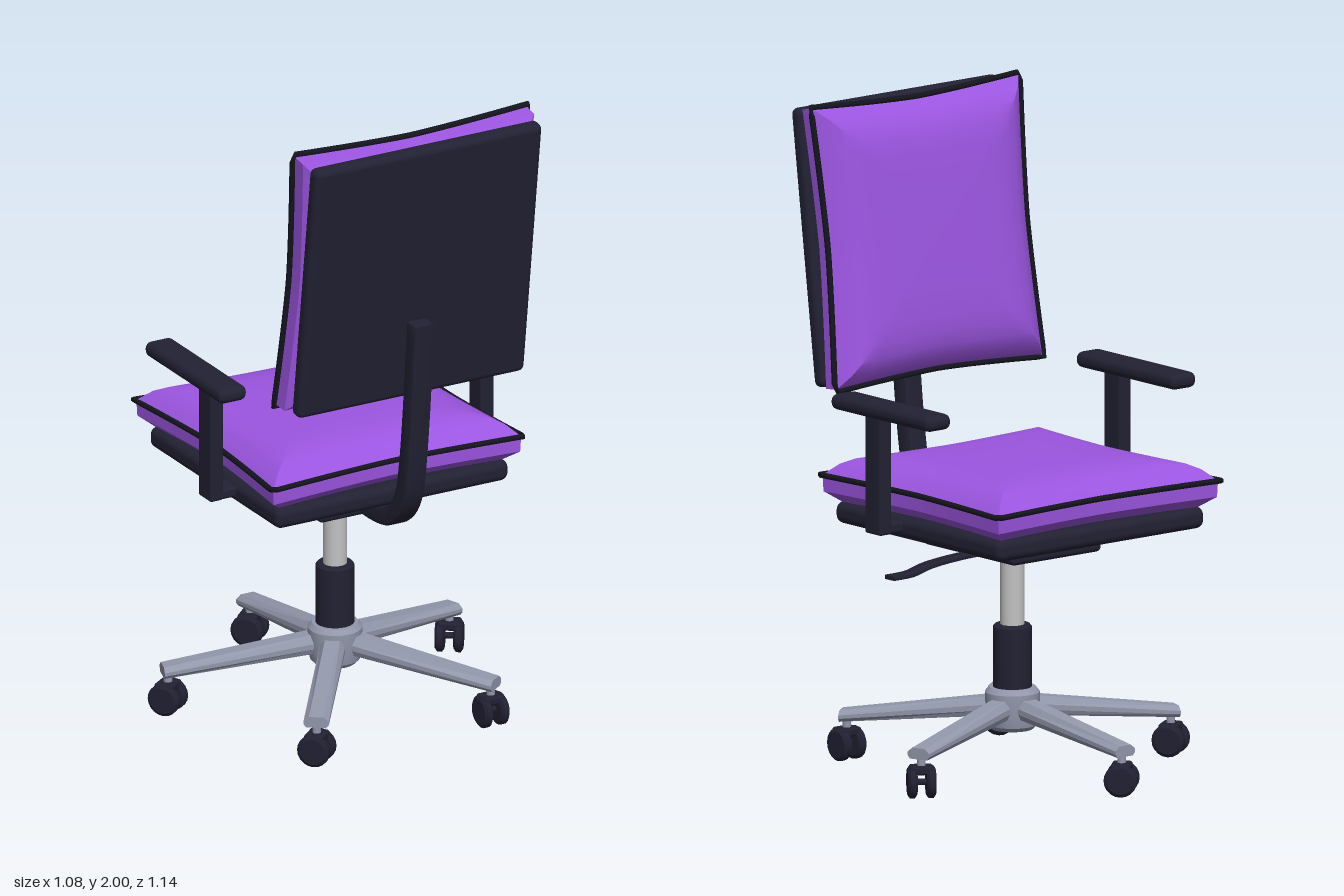
import * as THREE from 'three';
import { toCreasedNormals } from 'three/addons/utils/BufferGeometryUtils.js';
import { RoundedBoxGeometry } from 'three/addons/geometries/RoundedBoxGeometry.js';

const material = (name, color) => {
  const m = new THREE.MeshStandardMaterial({ color });
  m.name = name;
  return m;
};

export function createModel() {
  const purple = material('purple fabric', 0x9b55e0);
  const dark = material('dark plastic', 0x222133);
  const black = material('black piping', 0x15151f);
  const grey = material('grey metal', 0x9297ab);
  const silver = material('silver steel', 0xc2c2c4);

  const chair = new THREE.Group();
  chair.name = 'officeChair';

  function add(parent, name, geometry, mat, x = 0, y = 0, z = 0) {
    const mesh = new THREE.Mesh(geometry, mat);
    mesh.name = name;
    mesh.position.set(x, y, z);
    parent.add(mesh);
    return mesh;
  }
  const rounded = (w, h, d, r) => new RoundedBoxGeometry(w, h, d, 3, r);
  const cylinder = (r, h, sides = 28) => new THREE.CylinderGeometry(r, r, h, sides);

  // Flat strip that follows a 2D path, extruded to a width and centred
  function ribbon(points, thickness, width, bevel) {
    const curve = new THREE.SplineCurve(points.map(p => new THREE.Vector2(...p)));
    const left = [], right = [], n = 24;
    for (let i = 0; i <= n; i++) {
      const p = curve.getPoint(i / n), t = curve.getTangent(i / n);
      const off = new THREE.Vector2(-t.y, t.x).multiplyScalar(thickness / 2 - bevel);
      left.push(p.clone().add(off));
      right.unshift(p.clone().sub(off));
    }
    const depth = width - 2 * bevel;
    const geo = new THREE.ExtrudeGeometry(new THREE.Shape([...left, ...right]), {
      depth, bevelEnabled: true, bevelThickness: bevel, bevelSize: bevel, bevelSegments: 2,
    });
    geo.translate(0, 0, -depth / 2);
    return toCreasedNormals(geo, 0.6);
  }

  // Cushion outline: a rectangle whose sides are pinched in the middle
  function outline(hw, hd, pinch) {
    const pts = [], n = 14;
    const corners = [[1, 1], [-1, 1], [-1, -1], [1, -1]];
    corners.forEach(([cx, cz], k) => {
      const [nx, nz] = corners[(k + 1) % 4];
      for (let i = 0; i < n; i++) {
        const t = i / n;
        const inset = 1 - Math.pow(Math.abs(2 * t - 1), 1.4);
        const u = cx + (nx - cx) * t, v = cz + (nz - cz) * t;
        const px = cx === nx ? cx * pinch * inset : 0;
        const pz = cz === nz ? cz * pinch * inset : 0;
        pts.push(new THREE.Vector3(u * hw - px, 0, v * hd - pz));
      }
    });
    return pts;
  }

  // Domed pad with a straight band below the seam, plus piping round the seam
  function cushion(name, hw, hd, pinch) {
    const group = new THREE.Group();
    group.name = name;
    const edge = outline(hw, hd, pinch), n = edge.length;
    const rings = [[0, 0.068], [0.35, 0.068], [0.6, 0.066], [0.72, 0.061], [0.82, 0.051],
      [0.9, 0.034], [0.985, 0], [0.98, -0.05], [0.88, -0.083], [0, -0.083]];
    const pos = [], index = [];
    rings.forEach(([s, y], r) => {
      edge.forEach((p, j) => {
        pos.push(p.x * s, y, p.z * s);
        if (r === rings.length - 1) return;
        const a = r * n + j, b = r * n + (j + 1) % n;
        index.push(a, b, a + n, b, b + n, a + n);
      });
    });
    const geo = new THREE.BufferGeometry();
    geo.setAttribute('position', new THREE.Float32BufferAttribute(pos, 3));
    geo.setIndex(index);
    add(group, name + 'Pad', toCreasedNormals(geo, 0.55), purple);
    const path = new THREE.CurvePath();
    edge.forEach((p, j) => path.add(new THREE.LineCurve3(p, edge[(j + 1) % n])));
    add(group, name + 'Piping', new THREE.TubeGeometry(path, n * 2, 0.009, 6, true), black);
    chair.add(group);
    return group;
  }

  // Seat
  cushion('seat', 0.432, 0.415, 0.03).position.set(0, 0.89, -0.037);
  add(chair, 'seatPan', rounded(0.8, 0.066, 0.775, 0.025), dark, 0, 0.777, -0.035);
  add(chair, 'tiltMechanism', rounded(0.345, 0.072, 0.425, 0.015), dark, 0, 0.706, 0);

  // Backrest, leaning back
  const lean = 0.132;
  const back = cushion('backrest', 0.405, 0.428, 0.02);
  back.position.set(0, 1.567, 0.395);
  back.rotation.x = lean - Math.PI / 2;
  const panel = add(chair, 'backPanel', rounded(0.78, 0.84, 0.05, 0.02), dark, 0, 1.555, 0.49);
  panel.rotation.x = lean;

  // Curved spine from the mechanism up to the back panel
  const spine = add(chair, 'backSpine', ribbon([[0.15, 0.705], [0.29, 0.706], [0.37, 0.727],
    [0.43, 0.79], [0.46, 0.89], [0.487, 1.1], [0.511, 1.383]], 0.058, 0.07, 0.01), dark);
  spine.rotation.y = -Math.PI / 2;

  // Height lever
  add(chair, 'heightLever', ribbon([[0.15, 0.695], [0.28, 0.692], [0.39, 0.682],
    [0.46, 0.666], [0.535, 0.664]], 0.013, 0.048, 0.003), dark, 0, 0, -0.075);

  // Armrests
  for (const s of [1, -1]) {
    const arm = new THREE.Group();
    arm.name = s > 0 ? 'leftArmrest' : 'rightArmrest';
    add(arm, 'armPad', rounded(0.096, 0.048, 0.463, 0.022), dark, s * 0.475, 1.15, -0.005);
    add(arm, 'armPost', rounded(0.046, 0.375, 0.075, 0.008), dark, s * 0.464, 0.953, 0.067);
    add(arm, 'armBracket', rounded(0.15, 0.032, 0.075, 0.008), dark, s * 0.41, 0.783, 0.067);
    chair.add(arm);
  }

  // Gas column
  add(chair, 'gasPost', cylinder(0.036, 0.26), silver, 0, 0.55, 0);
  add(chair, 'columnSleeve', toCreasedNormals(new THREE.LatheGeometry([[0, 0.24], [0.058, 0.24],
    [0.058, 0.433], [0.052, 0.44], [0, 0.44]].map(p => new THREE.Vector2(...p)), 28), 0.5), dark);

  // Hub of the star base
  add(chair, 'baseHub', toCreasedNormals(new THREE.LatheGeometry([[0, 0.122], [0.062, 0.122],
    [0.075, 0.135], [0.082, 0.17], [0.082, 0.235], [0.07, 0.25], [0, 0.25]]
    .map(p => new THREE.Vector2(...p)), 28), 0.5), grey);

  // Leg: chamfered section swept outward, then sloped and thinned toward the tip
  const section = new THREE.Shape([[-0.03, 0], [0.03, 0], [0.038, 0.3], [0.038, 0.6], [0.022, 1],
    [-0.022, 1], [-0.038, 0.6], [-0.038, 0.3]].map(p => new THREE.Vector2(...p)));
  const legGeo = new THREE.ExtrudeGeometry(section, { depth: 1, bevelEnabled: false });
  const lp = legGeo.attributes.position;
  for (let i = 0; i < lp.count; i++) {
    const t = lp.getZ(i), h = lp.getY(i);
    const low = THREE.MathUtils.lerp(0.165, 0.12, t), high = THREE.MathUtils.lerp(0.225, 0.154, t);
    lp.setXYZ(i, lp.getX(i), low + (high - low) * h, 0.04 + t * 0.485);
  }
  legGeo.computeVertexNormals();

  const wheelGeo = toCreasedNormals(new THREE.LatheGeometry([[0, -0.014], [0.04, -0.014],
    [0.05, -0.007], [0.05, 0.007], [0.04, 0.014], [0, 0.014]]
    .map(p => new THREE.Vector2(...p)), 20), 0.5);
  wheelGeo.rotateZ(Math.PI / 2);

  // Five legs with swivelling twin-wheel casters
  const swivel = [0.75, 0.6, 0, -0.65, -0.6];
  for (let i = 0; i < 5; i++) {
    const angle = Math.PI + i * Math.PI * 2 / 5;
    const leg = add(chair, 'baseLeg', legGeo, grey);
    leg.rotation.y = angle;
    const caster = new THREE.Group();
    caster.name = 'caster';
    caster.position.set(Math.sin(angle) * 0.508, 0, Math.cos(angle) * 0.508);
    // The caster at the +x, +z corner points straight ahead
    caster.rotation.y = caster.position.x > 0.1 && caster.position.z > 0 ? 0 : swivel[i] || 0.7;
    add(caster, 'casterStem', cylinder(0.013, 0.06, 14), grey, 0, 0.115, 0);
    add(caster, 'casterFork', rounded(0.07, 0.026, 0.06, 0.008), dark, 0, 0.087, 0);
    add(caster, 'casterAxle', cylinder(0.01, 0.06, 12).rotateZ(Math.PI / 2), dark, 0, 0.05, 0);
    for (const s of [1, -1]) add(caster, 'casterWheel', wheelGeo, dark, s * 0.028, 0.05, 0);
    chair.add(caster);
  }
  return chair;
}
